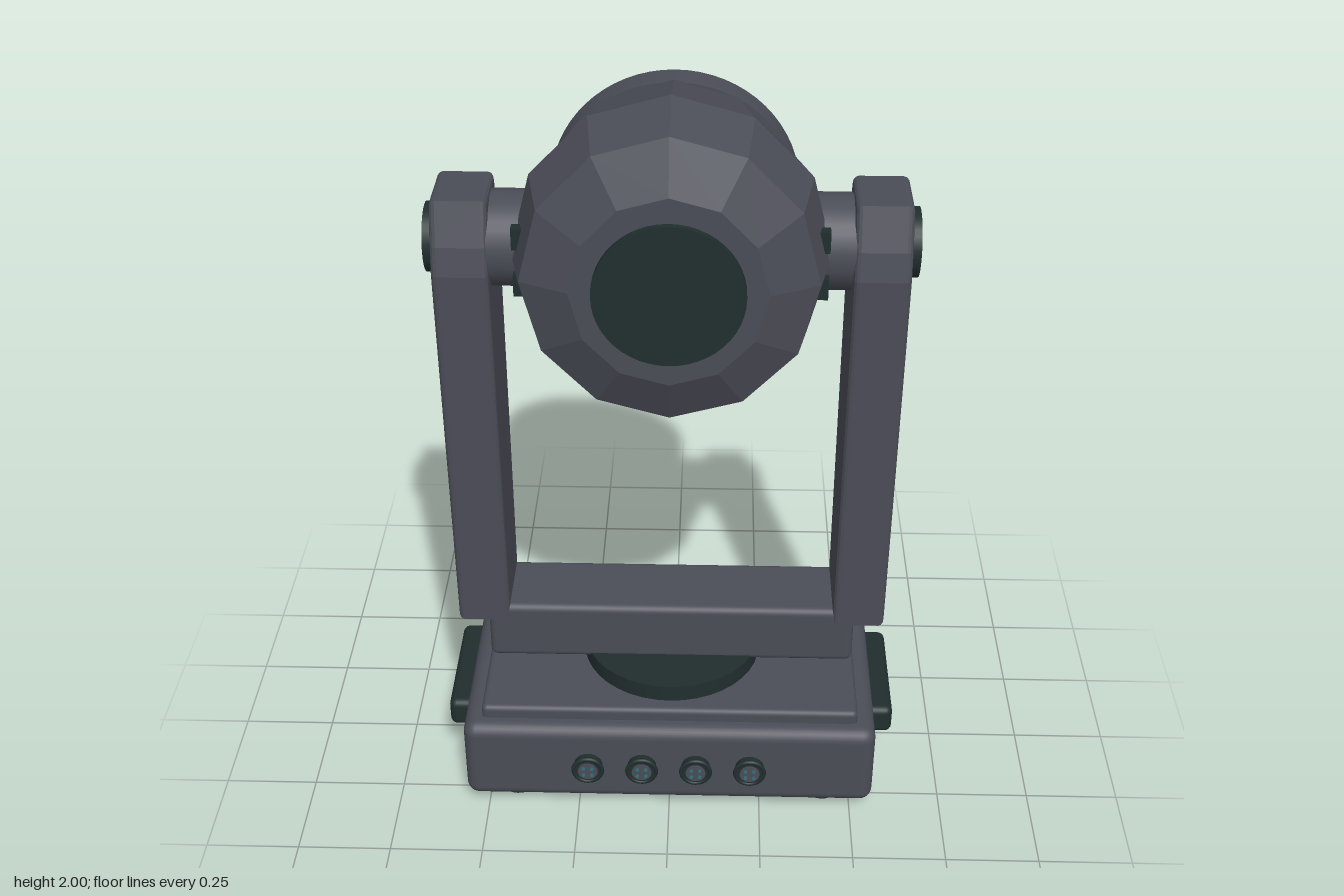
import * as THREE from 'three';
import { RoundedBoxGeometry } from 'three/addons/geometries/RoundedBoxGeometry.js';

export function createModel() {
  const root = new THREE.Group();
  root.name = 'movingHeadLight';
  const body = new THREE.MeshStandardMaterial({ color: 0x4b4d57 });
  body.name = 'graphite grey';
  const dark = new THREE.MeshStandardMaterial({ color: 0x212e2e });
  dark.name = 'dark green black';
  const teal = new THREE.MeshStandardMaterial({ color: 0x33707e });
  teal.name = 'teal glass';

  const add = (name, geo, mat, x = 0, y = 0, z = 0, parent = root) => {
    const m = new THREE.Mesh(geo, mat);
    m.name = name;
    m.position.set(x, y, z);
    parent.add(m);
    return m;
  };
  const rbox = (w, h, d, r) => new RoundedBoxGeometry(w, h, d, 3, r);
  const cylY = (r, h, n = 32) => new THREE.CylinderGeometry(r, r, h, n);
  const cylX = (r, h, n = 32) => cylY(r, h, n).rotateZ(Math.PI / 2);
  const cylZ = (r, h, n = 40) => cylY(r, h, n).rotateX(Math.PI / 2);

  // Base: housing, raised lid, feet, turntable and side handles
  const base = new THREE.Group();
  base.name = 'base';
  root.add(base);
  add('housing', rbox(1.12, 0.25, 0.66, 0.035), body, 0, 0.16, 0, base);
  add('lid', rbox(1.02, 0.06, 0.57, 0.015), body, 0, 0.292, 0, base);
  add('turntable', cylY(0.245, 0.06, 40), dark, 0, 0.34, 0, base);
  for (const sx of [-1, 1]) {
    add('handle', rbox(0.09, 0.085, 0.355, 0.02), dark, sx * 0.572, 0.2, 0, base);
    for (const sz of [-1, 1])
      add('foot', cylY(0.052, 0.045, 24), dark, sx * 0.425, 0.0225, sz * 0.225, base);
  }

  // Front sockets: flange, raised rim, insert and pins
  for (let i = 0; i < 4; i++) {
    const socket = new THREE.Group();
    socket.name = 'socket';
    socket.position.set(-0.22 + i * 0.1467, 0.162, 0.33);
    base.add(socket);
    add('socketBarrel', cylZ(0.039, 0.03, 24), dark, 0, 0, 0.01, socket);
    add('socketRim', new THREE.TorusGeometry(0.039, 0.006, 8, 28), dark, 0, 0, 0.022, socket);
    add('socketInsert', cylZ(0.027, 0.006, 24), body, 0, 0, 0.026, socket);
    for (let k = 0; k < 4; k++) {
      const a = Math.PI / 4 + k * Math.PI / 2;
      add('pin', cylZ(0.005, 0.006, 10), teal, 0.016 * Math.cos(a), 0.016 * Math.sin(a), 0.029, socket);
    }
  }

  // Rear control panel
  add('controlPanel', rbox(0.52, 0.17, 0.03, 0.005), dark, 0, 0.165, -0.33, base);
  add('display', new THREE.BoxGeometry(0.24, 0.1, 0.012), teal, -0.1, 0.17, -0.35, base);
  for (let i = 0; i < 4; i++)
    add('button', cylZ(0.014, 0.016, 16), body, 0.075 + i * 0.042, 0.17, -0.35, base);

  // Yoke: crossbar and two tapered arms
  const yoke = new THREE.Group();
  yoke.name = 'yoke';
  root.add(yoke);
  add('crossbar', rbox(1.0, 0.175, 0.215, 0.02), body, 0, 0.4425, 0, yoke);
  const b = 0.015;
  const profile = [[0.112, 0.487], [0.135, 1.55], [0.122, 1.62], [0.09, 1.73]];
  const inset = ([z, y], i) => [z - b, i === 0 ? y + b : i === 3 ? y - b : y];
  const half = profile.map(inset);
  const outline = [...half, ...half.map(([z, y]) => [-z, y]).reverse()];
  const armShape = new THREE.Shape(outline.map(([z, y]) => new THREE.Vector2(z, y)));
  const armGeo = new THREE.ExtrudeGeometry(armShape, {
    depth: 0.14 - 2 * b, bevelEnabled: true, bevelSize: b, bevelThickness: b, bevelSegments: 3,
  }).translate(0, 0, -(0.14 - 2 * b) / 2).rotateY(Math.PI / 2);
  for (const s of [-1, 1]) {
    add('arm', armGeo, body, s * 0.51, 0, 0, yoke);
    add('pivotCap', cylX(0.087, 0.04), dark, s * 0.583, 1.595, 0, yoke);
    add('pivotHub', cylX(0.12, 0.14), body, s * 0.4, 1.595, 0, yoke);
    add('indicator', new THREE.SphereGeometry(0.009, 12, 8), teal, s * 0.582, 0.62, 0.015, yoke);
  }

  // Head: twelve-sided faceted shell turned about z
  const head = new THREE.Group();
  head.name = 'head';
  head.position.y = 1.595;
  root.add(head);
  const section = [[0, -0.22], [0.325, -0.22], [0.405, 0.075], [0.37, 0.235], [0.245, 0.29], [0, 0.29]];
  const shellGeo = new THREE.LatheGeometry(section.map(([r, z]) => new THREE.Vector2(r, z)), 12)
    .rotateX(Math.PI / 2).scale(0.963, 1, 1).toNonIndexed();
  shellGeo.computeVertexNormals();
  add('shell', shellGeo, body, 0, 0, 0, head);
  add('endDisc', cylZ(0.182, 0.03, 48), dark, 0, 0, 0.291, head);
  for (const sx of [-1, 1]) for (const sy of [-1, 1])
    add('vent', new THREE.BoxGeometry(0.03, 0.055, 0.03), dark, sx * 0.365, sy * 0.062, 0.125, head);

  // Lens assembly
  add('lensCollar', cylZ(0.322, 0.085, 64), body, 0, 0, -0.2525, head);
  add('lensStep', cylZ(0.292, 0.02, 64), body, 0, 0, -0.294, head);
  add('lensRing', new THREE.TorusGeometry(0.241, 0.013, 12, 64), body, 0, 0, -0.335, head);
  add('lens', cylZ(0.235, 0.012, 64), teal, 0, 0, -0.338, head);

  return root;
}
